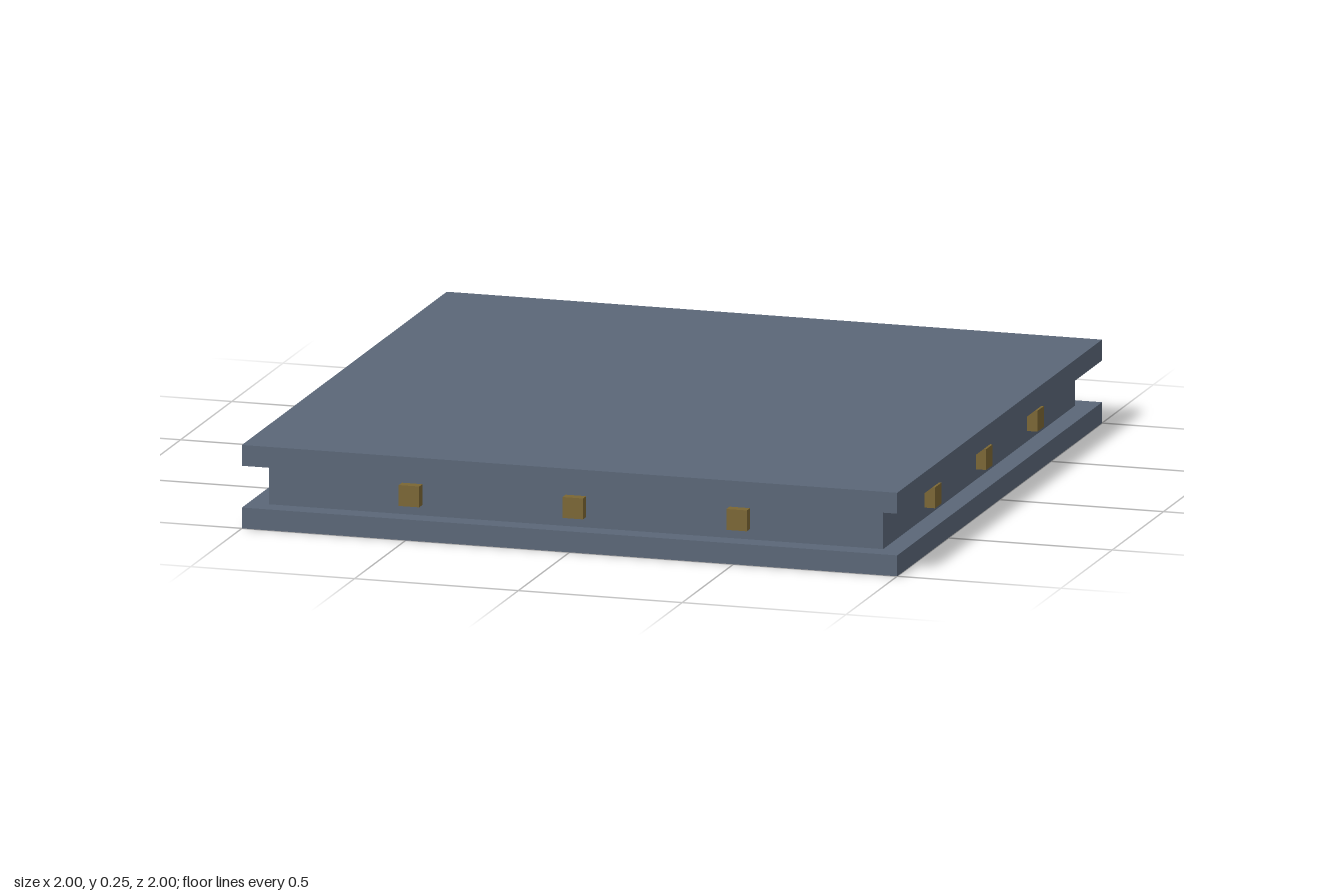
import * as THREE from 'three';

export function createModel() {
  const model = new THREE.Group();
  model.name = 'layeredPlatform';

  const slate = new THREE.MeshStandardMaterial({ color: 0x5a6677 });
  slate.name = 'slate blue';
  const brass = new THREE.MeshStandardMaterial({ color: 0x7a6633 });
  brass.name = 'dull brass';

  const U = 1 / 16; // module all parts share

  function addBox(name, material, size, position, parent = model) {
    const mesh = new THREE.Mesh(new THREE.BoxGeometry(...size), material);
    mesh.name = name;
    mesh.position.set(...position);
    parent.add(mesh);
    return mesh;
  }

  // Two wide slabs with a recessed core between them
  addBox('bottomSlab', slate, [2, U, 2], [0, U / 2, 0]);
  addBox('core', slate, [2 - 2 * U, 2 * U, 2 - 2 * U], [0, 2 * U, 0]);
  addBox('topSlab', slate, [2, U, 2], [0, 3.5 * U, 0]);

  // Three studs half sunk into each side of the core
  for (let side = 0; side < 4; side++) {
    const row = new THREE.Group();
    row.name = 'studRow';
    row.rotation.y = side * Math.PI / 2;
    for (const x of [-0.5, 0, 0.5]) {
      addBox('stud', brass, [U, U, U], [x, 2 * U, 1 - U], row);
    }
    model.add(row);
  }

  return model;
}
